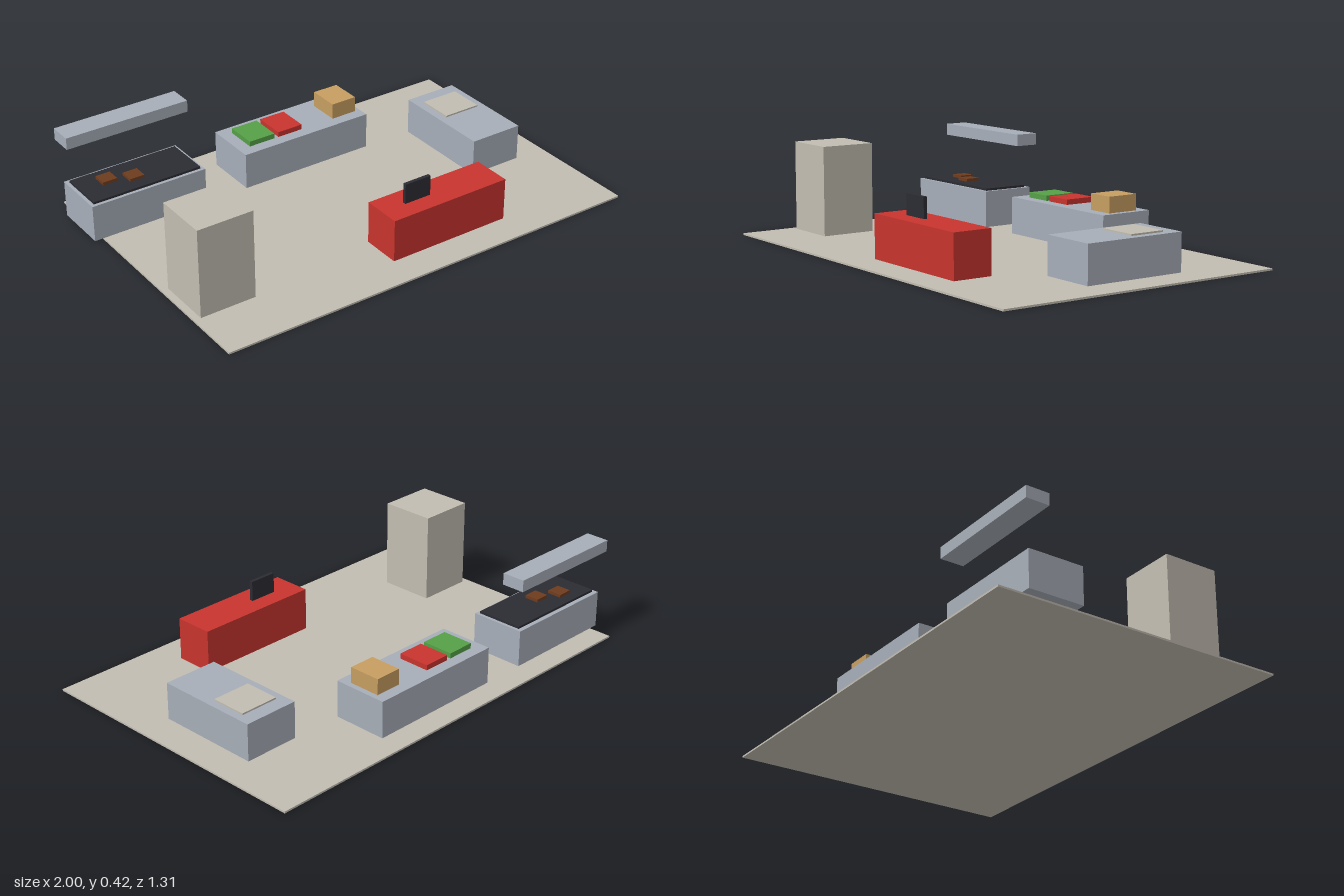
import * as THREE from 'three';

const mat = (name, color) => {
  const m = new THREE.MeshStandardMaterial({ color });
  m.name = name;
  return m;
};

export function createModel() {
  const stone = mat('warm stone', 0xc2bdb1);
  const steel = mat('steel grey', 0xa7aeb8);
  const red = mat('red', 0xc8342e);
  const dark = mat('charcoal', 0x2b2b33);
  const green = mat('green', 0x55a047);
  const tan = mat('tan', 0xc69e60);
  const brown = mat('brown', 0x6e3c1e);

  const model = new THREE.Group();
  model.name = 'kitchen';

  const station = (name) => {
    const g = new THREE.Group();
    g.name = name;
    model.add(g);
    return g;
  };

  // Box given by its extents along each axis
  const box = (parent, name, material, [x0, x1], [y0, y1], [z0, z1]) => {
    const mesh = new THREE.Mesh(new THREE.BoxGeometry(x1 - x0, y1 - y0, z1 - z0), material);
    mesh.position.set((x0 + x1) / 2, (y0 + y1) / 2, (z0 + z1) / 2);
    mesh.name = name;
    parent.add(mesh);
  };

  const base = 0.008;
  const top = 0.17;

  box(model, 'floor', stone, [-0.945, 1], [0, base], [-0.655, 0.655]);

  // Grill with two patties and an overhead hood
  const grill = station('grillStation');
  box(grill, 'grillCounter', steel, [-0.985, -0.455], [base, top], [-0.55, -0.305]);
  box(grill, 'grillPlate', dark, [-0.97, -0.47], [top, 0.18], [-0.53, -0.32]);
  for (const [x, z] of [[-0.842, -0.448], [-0.737, -0.408]]) {
    box(grill, 'patty', brown, [x - 0.033, x + 0.033], [0.18, 0.193], [z - 0.033, z + 0.033]);
  }
  box(grill, 'hood', steel, [-1, -0.435], [0.365, 0.417], [-0.57, -0.465]);

  // Preparation counter with trays and a bread box
  const prep = station('prepStation');
  box(prep, 'prepCounter', steel, [-0.255, 0.375], [base, top], [-0.55, -0.305]);
  box(prep, 'greenTray', green, [-0.2, -0.075], [top, 0.193], [-0.5, -0.357]);
  box(prep, 'redTray', red, [-0.055, 0.066], [top, 0.193], [-0.5, -0.357]);
  box(prep, 'breadBox', tan, [0.23, 0.35], [top, 0.24], [-0.5, -0.357]);

  // Side counter with a shallow board
  const side = station('sideStation');
  box(side, 'sideCounter', steel, [0.608, 0.855], [base, top], [-0.305, 0.16]);
  box(side, 'board', stone, [0.645, 0.82], [top, 0.177], [-0.24, -0.08]);

  // Service counter with a till screen
  const service = station('serviceStation');
  box(service, 'serviceCounter', red, [-0.08, 0.485], [base, 0.196], [0.337, 0.513]);
  box(service, 'screen', dark, [0.033, 0.158], [0.196, 0.285], [0.416, 0.432]);

  // Tall fridge
  box(model, 'fridge', stone, [-0.915, -0.667], [base, 0.4], [0.16, 0.405]);

  return model;
}
